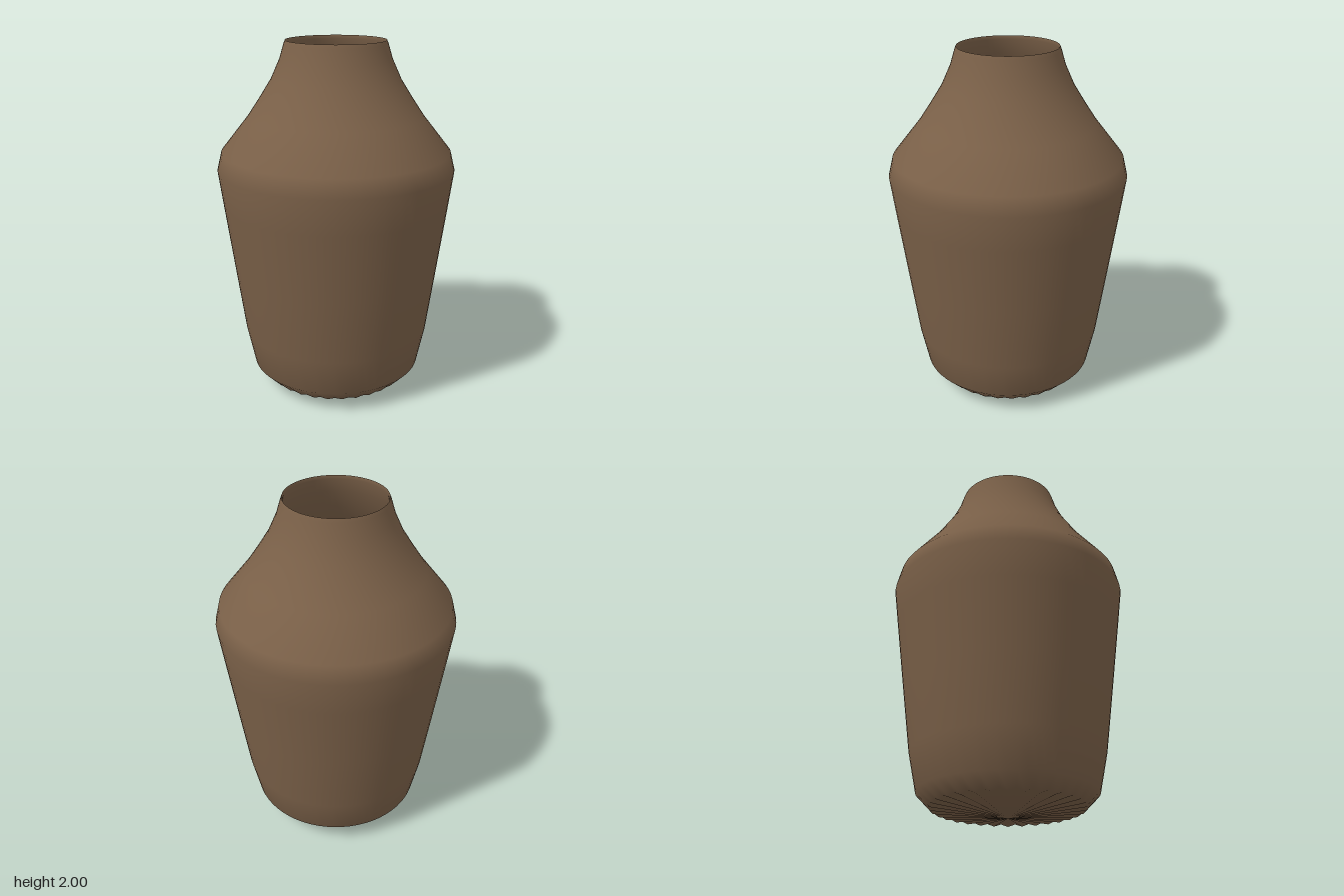
import * as THREE from 'three';
import { mergeVertices } from 'three/addons/utils/BufferGeometryUtils.js';

const SEGMENTS = 64;

// Spin a profile of [radius, height] pairs around the y axis
function spin(profile) {
  return new THREE.LatheGeometry(profile.map(([r, y]) => new THREE.Vector2(r, y)), SEGMENTS);
}

// Weld the seam so that the normals are smooth all round
function weld(geometry) {
  geometry.deleteAttribute('uv');
  geometry.deleteAttribute('normal');
  const welded = mergeVertices(geometry, 1e-4);
  welded.computeVertexNormals();
  return welded;
}

// Alternate the foot ring in and out to make radial flutes under the base
function fluteFoot(geometry, ring, pointsPerColumn) {
  const pos = geometry.attributes.position;
  for (let i = 0; i <= SEGMENTS; i++) {
    const v = i * pointsPerColumn + ring;
    const side = i % 2 ? 1 : -1;
    const k = 1 + side * 0.012;
    pos.setXYZ(v, pos.getX(v) * k, pos.getY(v) + side * 0.008, pos.getZ(v) * k);
  }
}

export function createModel() {
  const model = new THREE.Group();
  model.name = 'vase';
  const clay = new THREE.MeshStandardMaterial({ color: 0x7a6048 });
  clay.name = 'brown clay';

  // Outer wall: shallow pointed base, tapering body, shoulder and neck
  const body = [
    [0.49, 0.125], [0.535, 0.34], [0.585, 0.71], [0.637, 1.1], [0.663, 1.3],
    [0.638, 1.4], [0.487, 1.59], [0.42, 1.69], [0.357, 1.79], [0.307, 1.9], [0.283, 1.98],
  ];
  const outerProfile = [[0, 0], [0.415, 0.05], ...body, [0.275, 2]];
  const outer = spin(outerProfile);
  fluteFoot(outer, 1, outerProfile.length);
  const wall = new THREE.Mesh(weld(outer), clay);
  wall.name = 'outerWall';
  model.add(wall);

  // Inner wall: runs down from the lip to a smooth floor
  const innerProfile = [
    [0.275, 2],
    ...body.slice().reverse().map(([r, y]) => [r - 0.012, y]),
    [0.4, 0.068], [0, 0.02],
  ];
  const inner = new THREE.Mesh(weld(spin(innerProfile)), clay);
  inner.name = 'innerWall';
  model.add(inner);

  return model;
}
